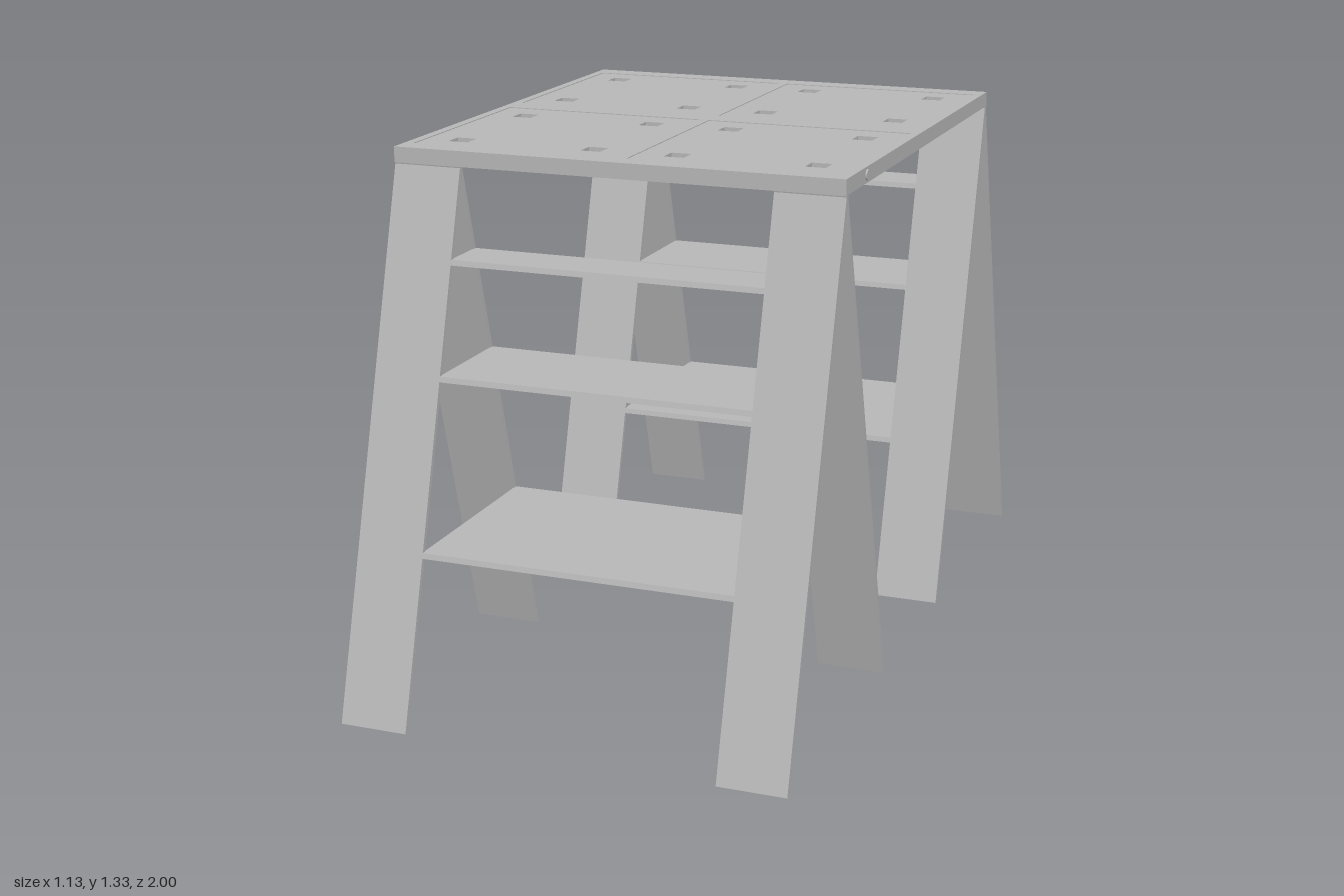
import * as THREE from 'three';

const W = 0.56;            // half width of the table and trestles
const LEG = 0.17;          // leg plank width
const TOP = 1.29;          // underside of the tabletop
const MID = 0.622;         // z of a trestle's ridge
const SPREAD = 0.378;      // half spread of the feet
const SLOPE = 0.373 / TOP; // outward lean of the planks
const THICK = 0.012;

const grey = new THREE.MeshStandardMaterial({ color: 0xb6b6b6 });

function mesh(name, geometry) {
  const m = new THREE.Mesh(geometry, grey);
  m.name = name;
  return m;
}

// Extrudes a (z, y) outline along x from x0 to x1
function alongX(points, x0, x1) {
  const shape = new THREE.Shape(points.map(([z, y]) => new THREE.Vector2(-z, y)));
  const g = new THREE.ExtrudeGeometry(shape, { depth: x1 - x0, bevelEnabled: false });
  return g.rotateY(Math.PI / 2).translate(x0, 0, 0);
}

function rect(path, x, z, w, d) {
  path.moveTo(x - w / 2, z - d / 2);
  path.lineTo(x + w / 2, z - d / 2);
  path.lineTo(x + w / 2, z + d / 2);
  path.lineTo(x - w / 2, z + d / 2);
  path.closePath();
  return path;
}

// Horizontal slab with rectangular openings [x, z, w, d]
function slab(y0, y1, openings) {
  const shape = rect(new THREE.Shape(), 0, 0, 2 * W, 1.264);
  shape.holes = openings.map((o) => rect(new THREE.Path(), ...o));
  const g = new THREE.ExtrudeGeometry(shape, { depth: y1 - y0, bevelEnabled: false });
  return g.rotateX(-Math.PI / 2).translate(0, y0, 0);
}

function createTrestle() {
  const g = new THREE.Group();
  const half = (y) => SPREAD - SLOPE * y; // distance from ridge to outer face

  // Four leaning planks, cut level at the floor
  for (const dir of [1, -1]) {
    const outline = [
      [MID + dir * half(0), 0],
      [MID + dir * half(TOP), TOP],
      [MID + dir * (half(TOP) - THICK), TOP],
      [MID + dir * (half(0) - THICK), 0],
    ];
    for (const x of [-W, W - LEG]) g.add(mesh('leg', alongX(outline, x, x + LEG)));
  }

  // Shelves with edges flush to the plank faces
  for (const y of [0.4, 0.801, 1.066]) {
    const t = y + 0.013;
    g.add(mesh('shelf', alongX([
      [MID - half(y), y], [MID + half(y), y],
      [MID + half(t), t], [MID - half(t), t],
    ], -W + LEG - 0.002, W - LEG + 0.002)));
  }
  return g;
}

function createTabletop() {
  const g = new THREE.Group();
  g.name = 'tabletop';
  const panels = [];
  const sockets = [];
  for (const sx of [-1, 1]) {
    for (const sz of [-1, 1]) {
      panels.push([sx * 0.275, sz * 0.306, 0.525, 0.54]);
      for (const x of [0.105, 0.45]) {
        for (const z of [0.13, 0.49]) sockets.push([sx * x, sz * z, 0.05, 0.05]);
      }
    }
  }
  g.add(mesh('tabletopBase', slab(TOP, 1.308, [])));
  g.add(mesh('socketBoard', slab(1.308, 1.326, sockets)));
  g.add(mesh('panelRim', slab(1.326, 1.328, panels)));

  // Small studs on the side edges
  for (const sx of [-1, 1]) {
    const stud = mesh('edgeStud', new THREE.CylinderGeometry(0.013, 0.013, 0.008, 16));
    stud.rotation.z = Math.PI / 2;
    stud.position.set(sx * W, 1.309, 0.475);
    g.add(stud);
  }
  return g;
}

export function createModel() {
  grey.name = 'plain grey';
  const model = new THREE.Group();
  model.name = 'trestleTable';
  const front = createTrestle();
  front.name = 'frontTrestle';
  const back = createTrestle();
  back.name = 'backTrestle';
  back.rotation.y = Math.PI;
  model.add(front, back, createTabletop());
  return model;
}
